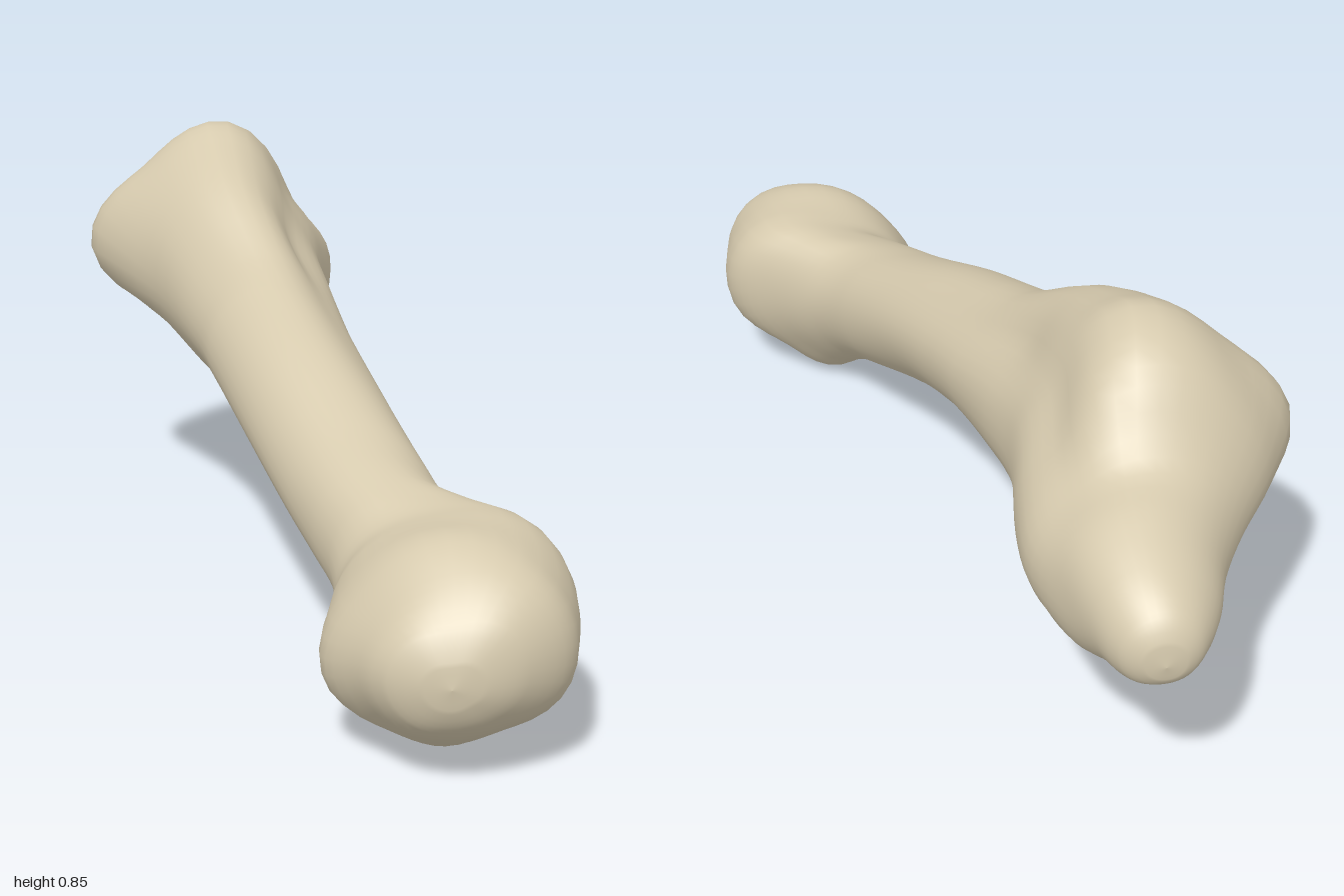
import * as THREE from 'three';

// Each section: z, centre x, centre y, then radii at 0, 45, 90 ... 315 degrees (from +x towards +y)
const broadEnd = [
  [-1, -0.18, 0.475, 0, 0, 0, 0, 0, 0, 0, 0],
  [-0.993, -0.18, 0.478, .042, .045, .045, .045, .042, .04, .038, .04],
  [-0.965, -0.18, 0.48, .078, .082, .085, .082, .075, .068, .066, .075],
  [-0.9, -0.18, 0.49, .112, .118, .115, .112, .11, .095, .098, .11],
  [-0.8, -0.18, 0.49, .15, .155, .155, .15, .14, .125, .15, .165],
  [-0.7, -0.18, 0.50, .19, .16, .18, .195, .19, .135, .175, .195],
  [-0.6, -0.19, 0.53, .20, .175, .27, .26, .25, .17, .195, .23],
  [-0.48, -0.20, 0.57, .198, .175, .275, .255, .30, .19, .23, .24],
  [-0.38, -0.18, 0.56, .183, .165, .25, .245, .26, .185, .22, .225],
  [-0.25, -0.15, 0.53, .185, .145, .222, .205, .18, .165, .197, .21],
];
const shaft = [
  [-0.1, -0.09, 0.48, .164, .14, .175, .16, .15, .135, .16, .17],
  [0, -0.05, 0.455, .152, .133, .155, .155, .15, .13, .158, .157],
  [0.2, 0.025, 0.395, .145, .133, .142, .15, .145, .124, .157, .147],
  [0.4, 0.11, 0.315, .14, .138, .14, .15, .14, .112, .145, .145],
  [0.52, 0.17, 0.265, .14, .143, .15, .162, .14, .115, .145, .14],
];
const roundEnd = [
  [0.6, 0.22, 0.235, .17, .185, .16, .172, .152, .13, .165, .155],
  [0.66, 0.25, 0.20, .21, .235, .19, .182, .17, .14, .18, .165],
  [0.72, 0.25, 0.17, .235, .27, .222, .20, .178, .14, .17, .15],
  [0.82, 0.27, 0.15, .21, .26, .252, .216, .207, .137, .128, .125],
  [0.9, 0.28, 0.18, .19, .215, .185, .165, .163, .13, .115, .125],
  [0.965, 0.28, 0.205, .125, .13, .10, .105, .115, .105, .09, .095],
  [0.993, 0.28, 0.205, .06, .06, .045, .05, .055, .05, .045, .045],
  [1, 0.28, 0.205, 0, 0, 0, 0, 0, 0, 0, 0],
];

// Smooth curve through b and c; w0 and w1 scale the slopes for uneven spacing
function spline(a, b, c, d, t, w0 = 0.5, w1 = 0.5) {
  const m0 = (c - a) * w0, m1 = (d - b) * w1;
  return (2 * b - 2 * c + m0 + m1) * t ** 3 + (3 * c - 3 * b - 2 * m0 - m1) * t * t + m0 * t + b;
}

// Skin rounded cross-sections into one closed surface
function loft(sections, steps, sides) {
  const positions = [], index = [];
  const last = sections.length - 1;
  const at = (i) => sections[Math.min(Math.max(i, 0), last)];
  const rings = last * steps + 1;
  for (let i = 0; i < rings; i++) {
    const k = Math.min(Math.floor(i / steps), last - 1);
    const [a, b, c, d] = [at(k - 1), at(k), at(k + 1), at(k + 2)];
    const gap = c[0] - b[0];
    const w0 = gap / (c[0] - a[0]), w1 = gap / (d[0] - b[0]);
    const [z, cx, cy, ...radii] = b.map((v, n) => spline(a[n], v, c[n], d[n], i / steps - k, w0, w1));
    for (let j = 0; j < sides; j++) {
      const f = (j / sides) * 8, q = Math.floor(f);
      const r = (n) => radii[(n + 8) % 8];
      const radius = Math.max(0, spline(r(q - 1), r(q), r(q + 1), r(q + 2), f - q));
      const angle = (j / sides) * Math.PI * 2;
      positions.push(cx + radius * Math.cos(angle), cy + radius * Math.sin(angle), z);
    }
  }
  for (let i = 0; i < rings - 1; i++) {
    for (let j = 0; j < sides; j++) {
      const a = i * sides + j, b = i * sides + (j + 1) % sides;
      index.push(a, b, a + sides, b, b + sides, a + sides);
    }
  }
  const geometry = new THREE.BufferGeometry();
  geometry.setAttribute('position', new THREE.Float32BufferAttribute(positions, 3));
  geometry.setIndex(index);
  geometry.computeVertexNormals();
  return geometry;
}

export function createModel() {
  const group = new THREE.Group();
  group.name = 'legBone';
  const boneMaterial = new THREE.MeshStandardMaterial({ color: 0xd6caae });
  boneMaterial.name = 'bone';

  // Broad ridged end, shaft and rounded end form one seamless skin
  const bone = new THREE.Mesh(loft([...broadEnd, ...shaft, ...roundEnd], 4, 40), boneMaterial);
  bone.name = 'bone';
  group.add(bone);
  return group;
}
